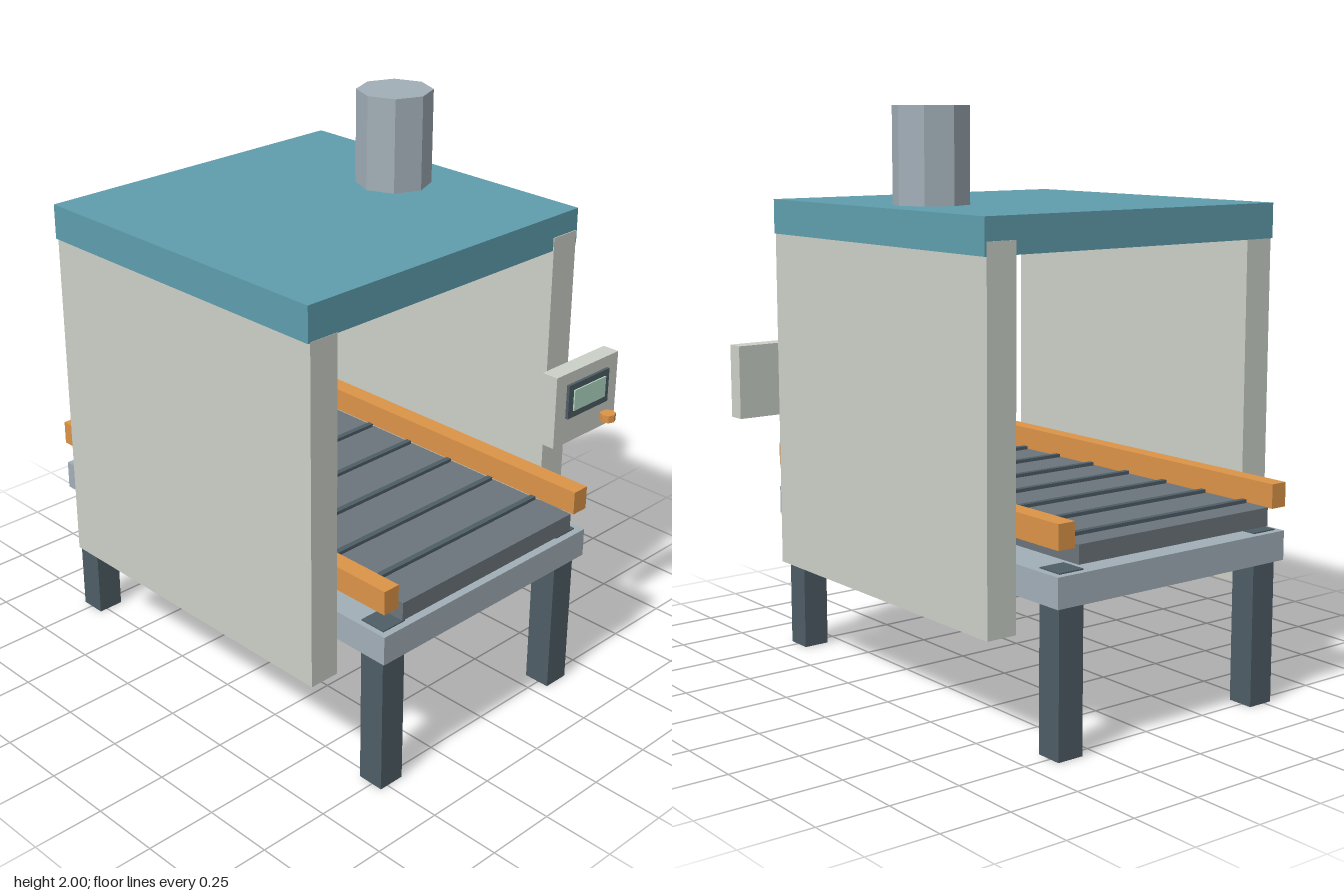
import * as THREE from 'three';

const mat = (color) => new THREE.MeshStandardMaterial({ color, flatShading: true });

export function createModel() {
  const model = new THREE.Group();
  const teal = mat(0x5f9eae), wall = mat(0xcbd0c8), steel = mat(0xa2afb8), belt = mat(0x6b757b);
  const dark = mat(0x4e5d66), orange = mat(0xdc9448), glass = mat(0xb2dcc6);

  // Box given by its limits on each axis
  const box = (name, material, [x0, x1], [y0, y1], [z0, z1]) => {
    const mesh = new THREE.Mesh(new THREE.BoxGeometry(x1 - x0, y1 - y0, z1 - z0), material);
    mesh.position.set((x0 + x1) / 2, (y0 + y1) / 2, (z0 + z1) / 2);
    mesh.name = name;
    model.add(mesh);
  };
  // Eight-sided upright cylinder
  const post = (name, material, radius, y0, y1, x, z) => {
    const mesh = new THREE.Mesh(new THREE.CylinderGeometry(radius, radius, y1 - y0, 8), material);
    mesh.position.set(x, (y0 + y1) / 2, z);
    mesh.name = name;
    model.add(mesh);
  };

  // Housing: two side walls, roof and exhaust stack
  box('rightWall', wall, [-0.665, -0.555], [0.37, 1.558], [-0.611, 0.611]);
  box('leftWall', wall, [0.428, 0.54], [0.37, 1.6], [-0.613, 0.613]);
  box('roof', teal, [-0.673, 0.547], [1.555, 1.675], [-0.612, 0.61]);
  post('exhaustStack', steel, 0.13, 1.67, 2, 0.305, 0);

  // Table and legs; the leg tops show just above the table
  box('tableFrame', steel, [-0.55, 0.426], [0.497, 0.598], [-0.815, 0.815]);
  for (const x of [-0.482, 0.353])
    for (const z of [-0.743, 0.743])
      box('leg', dark, [x - 0.048, x + 0.048], [0, 0.602], [z - 0.048, z + 0.048]);

  // Conveyor belt with cross slats and guide rails
  box('belt', belt, [-0.47, 0.345], [0.625, 0.688], [-0.815, 0.815]);
  for (let i = 0; i < 8; i++) {
    const z = -0.715 + i * 0.196;
    box('beltSlat', dark, [-0.462, 0.337], [0.685, 0.7], [z - 0.01, z + 0.01]);
  }
  box('rightRail', orange, [-0.552, -0.49], [0.68, 0.763], [-0.815, 0.815]);
  box('leftRail', orange, [0.36, 0.425], [0.68, 0.763], [-0.815, 0.815]);

  // Control panel
  box('panelCase', wall, [0.345, 0.67], [0.9, 1.16], [0.662, 0.724]);
  box('screenBezel', dark, [0.4, 0.613], [0.995, 1.118], [0.72, 0.735]);
  box('screen', glass, [0.425, 0.591], [1.02, 1.096], [0.73, 0.74]);
  post('knob', orange, 0.028, 0.929, 0.956, 0.605, 0.747);

  return model;
}
